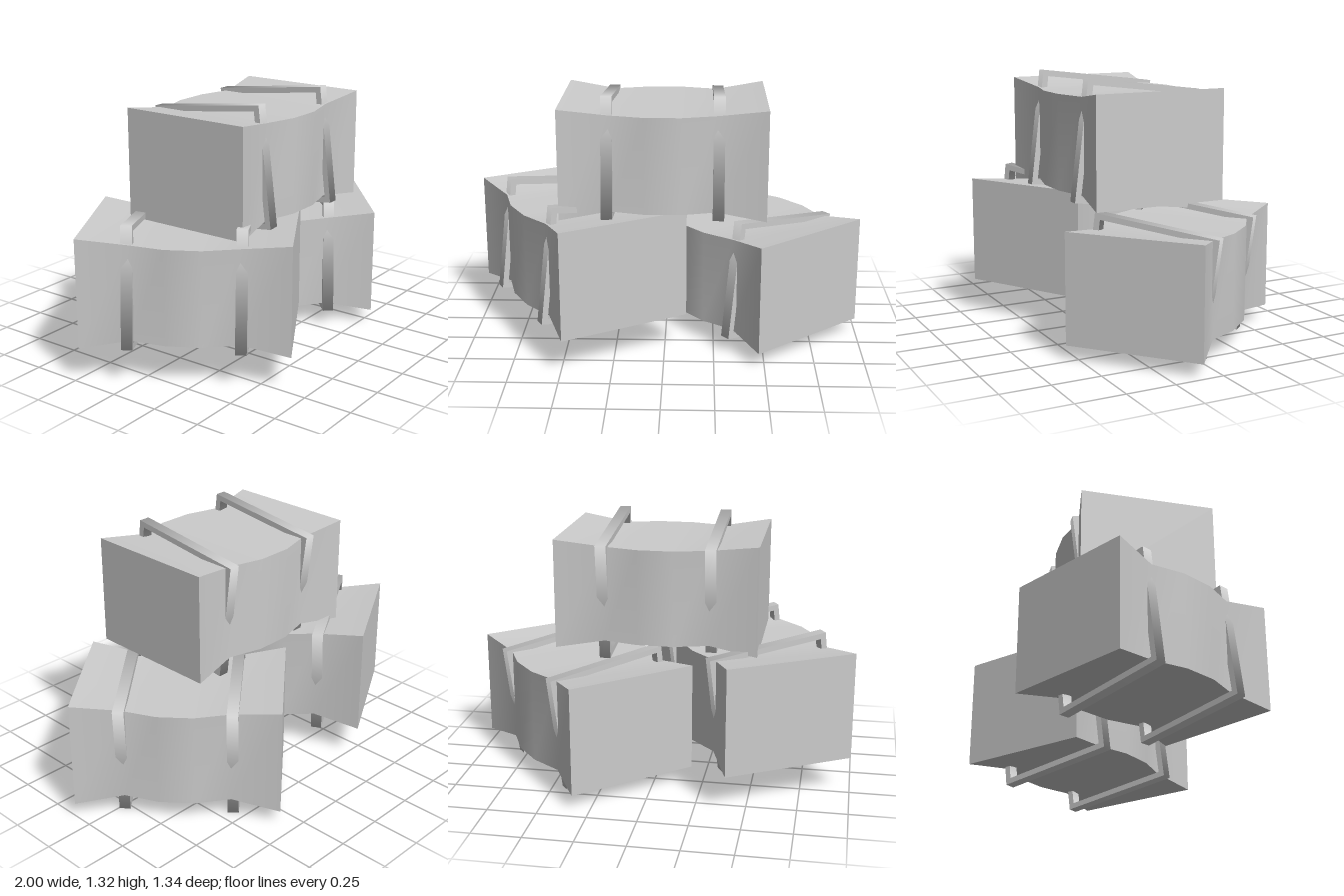
import * as THREE from 'three';
import { mergeGeometries } from 'three/addons/utils/BufferGeometryUtils.js';

const baleMaterial = new THREE.MeshStandardMaterial({ color: 0xcccccc });
const strapMaterial = new THREE.MeshStandardMaterial({ color: 0xcccccc, side: THREE.DoubleSide });

// Bale block: flared ends, pinched at the straps, bulging sides in the middle
function baleGeometry() {
  // [x, half height, half depth] per cross-section
  const half = [[0.09, 0.2425, 0.352], [0.265, 0.2425, 0.305], [0.51, 0.2775, 0.346]];
  const sections = [...half.map(([x, h, d]) => [-x, h, d]).reverse(), ...half];
  const geometry = new THREE.BoxGeometry(5, 2, 2, 5, 1, 1);
  const p = geometry.attributes.position;
  for (let i = 0; i < p.count; i++) {
    const [x, h, d] = sections[Math.round(p.getX(i) + 2.5)];
    p.setXYZ(i, x, Math.sign(p.getY(i)) * h, Math.sign(p.getZ(i)) * d);
  }
  geometry.computeVertexNormals();
  return geometry;
}

// Strap: a four-sided hoop around x, with normals blended round its corners
function strapGeometry() {
  const width = 0.056, outer = Math.SQRT1_2, inner = outer * 0.905;
  const band = (r) => new THREE.CylinderGeometry(r, r, width, 4, 1, true, Math.PI / 4).rotateZ(Math.PI / 2);
  const side = (s) => new THREE.RingGeometry(inner, outer, 4, 1, Math.PI / 4)
    .rotateY(s * Math.PI / 2).translate(s * width / 2, 0, 0);
  return mergeGeometries([band(outer), band(inner), side(1), side(-1)]).scale(1, 0.605, 0.635);
}

export function createModel() {
  const model = new THREE.Group();
  model.name = 'baleStack';
  const block = baleGeometry();
  const hoop = strapGeometry();

  function addBale(name, x, y, z, turn) {
    const bale = new THREE.Group();
    bale.name = name;
    const body = new THREE.Mesh(block, baleMaterial);
    body.name = 'baleBlock';
    bale.add(body);
    // Two straps, tilted on the bale
    for (const s of [-1, 1]) {
      const strap = new THREE.Mesh(hoop, strapMaterial);
      strap.name = s < 0 ? 'rightStrap' : 'leftStrap';
      strap.position.set(s * 0.273, -0.008, 0.008);
      strap.rotation.x = -0.125;
      bale.add(strap);
    }
    bale.position.set(x, y, z);
    bale.rotation.y = turn;
    model.add(bale);
  }

  addBale('topBale', -0.008, 0.992, 0.057, 0);
  addBale('lowerLeftBale', 0.405, 0.356, -0.06, -0.868);
  addBale('lowerRightBale', -0.445, 0.463, 0.05, -Math.PI / 3);
  return model;
}
